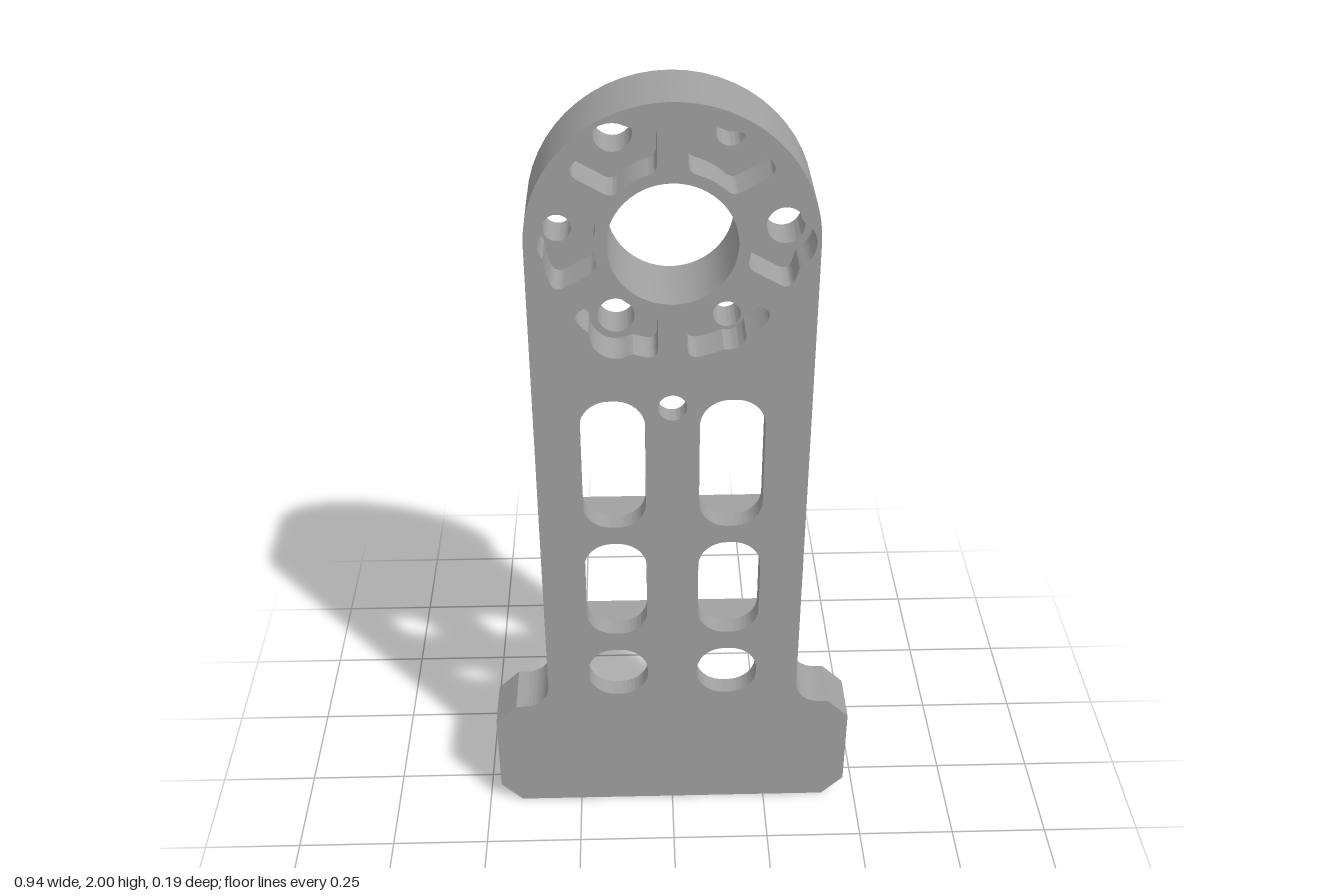
import * as THREE from 'three';
import { toCreasedNormals } from 'three/addons/utils/BufferGeometryUtils.js';

const HUB_Y = 1.675, HUB_R = 0.325, BOLT_CIRCLE = 0.255;

// Outer silhouette: arched bar on a chamfered foot
function outline() {
  const s = new THREE.Shape();
  s.moveTo(-0.412, 0);
  s.lineTo(0.412, 0);
  s.lineTo(0.468, 0.057);
  s.lineTo(0.468, 0.285);
  s.lineTo(0.412, 0.34);
  s.lineTo(0.39, 0.34);
  s.absarc(0.39, 0.405, 0.065, -Math.PI / 2, -Math.PI, true);
  s.lineTo(HUB_R, HUB_Y);
  s.absarc(0, HUB_Y, HUB_R, 0, Math.PI, false);
  s.lineTo(-HUB_R, 0.405);
  s.absarc(-0.39, 0.405, 0.065, 0, -Math.PI / 2, true);
  s.lineTo(-0.412, 0.34);
  s.lineTo(-0.468, 0.285);
  s.lineTo(-0.468, 0.057);
  return s;
}

function circle(x, y, r, Type = THREE.Path) {
  const p = new Type();
  p.absarc(x, y, r, 0, Math.PI * 2, false);
  return p;
}

function roundedRect(x0, x1, y0, y1, r) {
  const p = new THREE.Path();
  p.moveTo(x0 + r, y0);
  p.absarc(x1 - r, y0 + r, r, -Math.PI / 2, 0, false);
  p.absarc(x1 - r, y1 - r, r, 0, Math.PI / 2, false);
  p.absarc(x0 + r, y1 - r, r, Math.PI / 2, Math.PI, false);
  p.absarc(x0 + r, y0 + r, r, Math.PI, Math.PI * 1.5, false);
  return p;
}

// Rounded sector pocket between hub spokes, bulging around its bolt hole
function sectorPocket(angle, bulge) {
  const ri = 0.172, ro = 0.285;
  const limit = r => Math.PI / 6 - Math.asin(0.033 / r);
  const at = (r, a) => new THREE.Vector2(r * Math.cos(angle + a), HUB_Y + r * Math.sin(angle + a));
  const pts = [];
  const corner = (a, b, c) => pts.push(...new THREE.QuadraticBezierCurve(a, b, c).getPoints(6));
  const li = limit(ri), lo = limit(ro), ci = li - 0.12, co = lo - 0.1;
  corner(at(ri, ci), at(ri, li), at(0.192, limit(0.192)));
  corner(at(0.255, limit(0.255)), at(ro, lo), at(ro, co));
  for (let i = 1; i < 24; i++) {
    const a = co * (1 - i / 12);
    const d = bulge ** 2 - (BOLT_CIRCLE * Math.sin(a)) ** 2;
    const rb = d > 0 ? BOLT_CIRCLE * Math.cos(a) + Math.sqrt(d) : 0;
    pts.push(at(Math.max(ro, rb), a));
  }
  corner(at(ro, -co), at(ro, -lo), at(0.255, -limit(0.255)));
  corner(at(0.192, -limit(0.192)), at(ri, -li), at(ri, -ci));
  for (let i = 1; i < 8; i++) pts.push(at(ri, ci * (i / 4 - 1)));
  return new THREE.Path(pts);
}

// Rear cavity under the hub, with an arched top
function upperCavity() {
  const p = new THREE.Path(), w = 0.287, y0 = 0.915, r = 0.05;
  const a = Math.atan2(-0.259, 0.25);
  p.moveTo(-w + r, y0);
  p.absarc(w - r, y0 + r, r, -Math.PI / 2, 0, false);
  p.lineTo(w, 1.38);
  p.quadraticCurveTo(w, 1.458, 0.25, HUB_Y - 0.259);
  p.absarc(0, HUB_Y, 0.36, a, -Math.PI - a, true);
  p.quadraticCurveTo(-w, 1.458, -w, 1.38);
  p.absarc(-w + r, y0 + r, r, Math.PI, Math.PI * 1.5, false);
  return p;
}

// Rear cavity that widens into the foot
function footCavity() {
  const p = new THREE.Path(), w = 0.287, top = 0.54, r = 0.05;
  p.moveTo(-0.38, 0.037);
  p.lineTo(0.38, 0.037);
  p.quadraticCurveTo(0.398, 0.037, 0.41, 0.05);
  p.quadraticCurveTo(0.432, 0.07, 0.432, 0.095);
  p.lineTo(0.432, 0.25);
  p.quadraticCurveTo(0.432, 0.27, 0.415, 0.285);
  p.quadraticCurveTo(0.405, 0.302, 0.39, 0.302);
  p.absarc(0.39, 0.405, 0.103, -Math.PI / 2, -Math.PI, true);
  p.absarc(w - r, top - r, r, 0, Math.PI / 2, false);
  p.absarc(-w + r, top - r, r, Math.PI / 2, Math.PI, false);
  p.absarc(-0.39, 0.405, 0.103, 0, -Math.PI / 2, true);
  p.quadraticCurveTo(-0.405, 0.302, -0.415, 0.285);
  p.quadraticCurveTo(-0.432, 0.27, -0.432, 0.25);
  p.lineTo(-0.432, 0.095);
  p.quadraticCurveTo(-0.432, 0.07, -0.41, 0.05);
  p.quadraticCurveTo(-0.398, 0.037, -0.38, 0.037);
  return p;
}

export function createModel() {
  const group = new THREE.Group();
  group.name = 'bracketArm';
  const metal = new THREE.MeshStandardMaterial({ color: 0xa0a0a0 });
  metal.name = 'greyMetal';

  function addLayer(name, shape, holes, z0, z1) {
    shape.holes.push(...holes);
    const geo = new THREE.ExtrudeGeometry(shape, { depth: z1 - z0, bevelEnabled: false, curveSegments: 28 });
    geo.translate(0, 0, z0);
    const mesh = new THREE.Mesh(toCreasedNormals(geo, 0.45), metal);
    mesh.name = name;
    group.add(mesh);
  }

  // Hub openings: bore, alternating bolt holes and sector pockets
  const bore = () => circle(0, HUB_Y, 0.145);
  const bolts = [], pockets = [];
  for (let i = 0; i < 6; i++) {
    const a = i * Math.PI / 3, big = i % 2 === 0;
    bolts.push(circle(BOLT_CIRCLE * Math.cos(a), HUB_Y + BOLT_CIRCLE * Math.sin(a), big ? 0.043 : 0.032));
    pockets.push(sectorPocket(a, big ? 0.06 : 0.04));
  }

  // Web openings: three rows of paired slots and a pin hole
  const slots = [circle(0, 1.26, 0.034)];
  for (const [y0, y1] of [[0.38, 0.53], [0.585, 0.87], [0.92, 1.28]]) {
    slots.push(roundedRect(0.064, 0.218, y0, y1, 0.07), roundedRect(-0.218, -0.064, y0, y1, 0.07));
  }

  // Rear cavities leave the rim and two cross ribs
  const cavities = [upperCavity(), roundedRect(-0.287, 0.287, 0.58, 0.875, 0.05), footCavity()];

  addLayer('frontPlate', outline(), [bore(), ...pockets, ...slots], 0.045, 0.095);
  addLayer('rimAndRibsFront', outline(), [bore(), ...pockets, ...cavities], 0, 0.045);
  addLayer('rimAndRibsRear', outline(), [bore(), ...bolts, ...cavities], -0.045, 0);
  addLayer('rearFlange', circle(0, HUB_Y, HUB_R, THREE.Shape), [bore(), ...bolts], -0.095, -0.045);
  return group;
}
